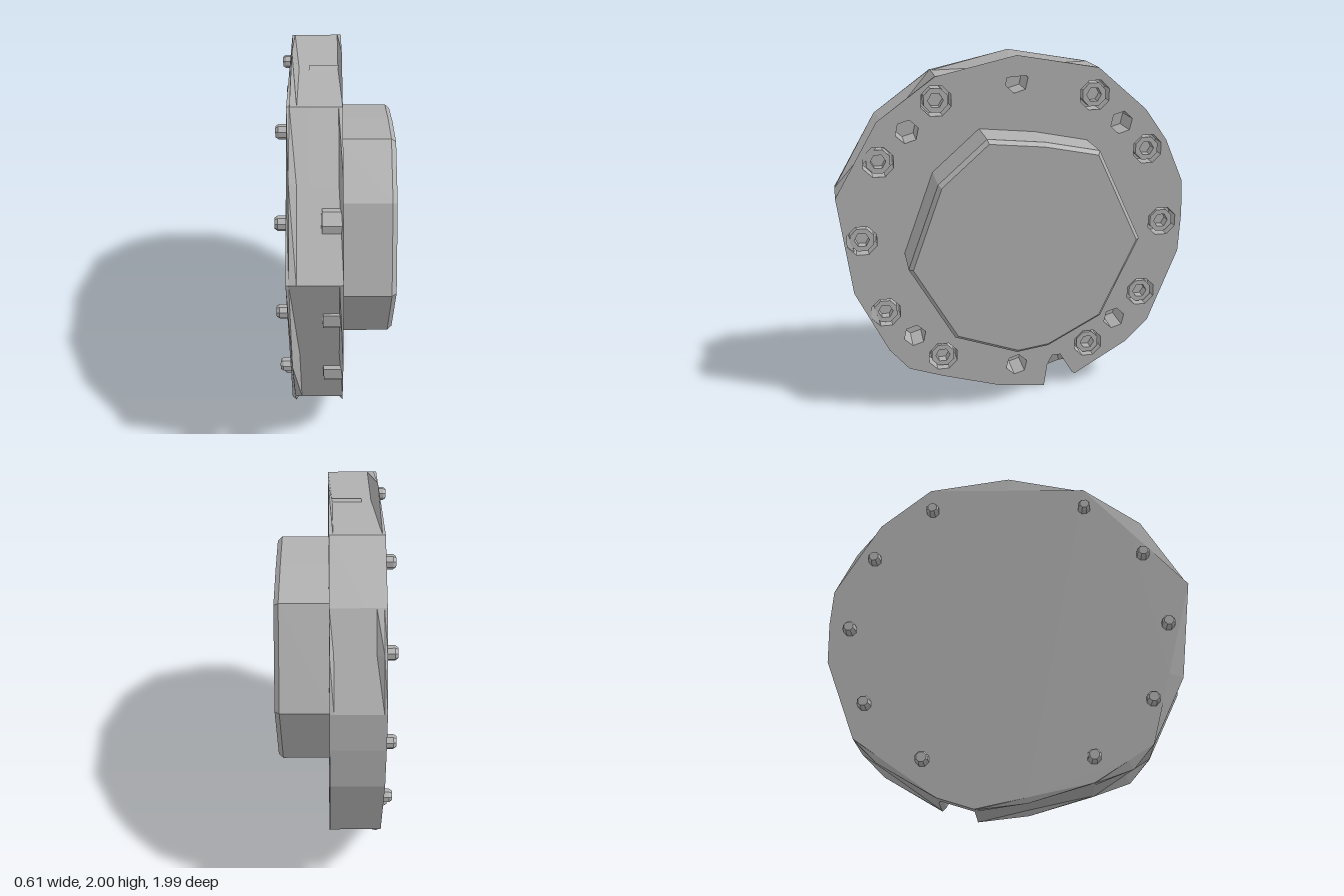
import * as THREE from 'three';

const steel = new THREE.MeshStandardMaterial({ color: 0xb0b0b0, flatShading: true, side: THREE.DoubleSide });
steel.name = 'steel grey';

// Local frame: u = -z, v = y - 1, w = model x. Points below are given as [z, y].
const local = ([z, y]) => new THREE.Vector2(-z, y - 1);

// Flange rim: corners, plus 'lobe' bulges and 'notch' points lying between corners
const RIM = [
  [0.44, 1.9], [0.76, 1.67, 'lobe'], [1, 1.26], [0.93, 0.7, 'lobe'], [0.75, 0.33],
  [0.64, 0.2, 'lobe'], [0.44, 0.13], [0.1, 0.03, 'lobe'], [-0.17, 0],
  [-0.19, 0.14, 'notch'], [-0.22, 0.2, 'notch'], [-0.27, 0.2, 'notch'], [-0.34, 0.08, 'notch'],
  [-0.36, 0.06], [-0.68, 0.25, 'lobe'], [-0.81, 0.38], [-0.98, 0.82], [-0.99, 1.05],
  [-0.98, 1.25], [-0.87, 1.5, 'lobe'], [-0.74, 1.68], [-0.46, 1.92], [0, 2, 'lobe'],
];

const HUB = [
  [0.21, 1.61], [0.47, 1.38], [0.64, 0.92], [0.4, 0.5], [0.05, 0.375],
  [-0.13, 0.4], [-0.43, 0.56], [-0.64, 1.01], [-0.4, 1.52], [-0.1, 1.58],
];

// Rim ring; points whose kind is not kept fall back onto the chord between corners
function rimRing(...kept) {
  const n = RIM.length;
  return RIM.map((p, i) => {
    const at = local(p);
    if (!p[2] || kept.includes(p[2])) return at;
    let a = i, b = i;
    while (RIM[a][2]) a = (a + n - 1) % n;
    while (RIM[b][2]) b = (b + 1) % n;
    const start = local(RIM[a]);
    const chord = local(RIM[b]).sub(start);
    const t = THREE.MathUtils.clamp(at.sub(start).dot(chord) / chord.lengthSq(), 0.02, 0.98);
    return start.addScaledVector(chord, t);
  });
}

function polygon(sides, r, cx = 0, cy = 0, turn = 0) {
  return Array.from({ length: sides }, (_, i) => {
    const a = turn + (i / sides) * Math.PI * 2;
    return new THREE.Vector2(cx + r * Math.cos(a), cy + r * Math.sin(a));
  });
}

// Skin through equal-count rings, ordered along w
function loft(rings) {
  const pos = [];
  for (let k = 0; k < rings.length - 1; k++) {
    const A = rings[k], B = rings[k + 1], n = A.pts.length;
    for (let i = 0; i < n; i++) {
      const j = (i + 1) % n;
      const corner = (R, m) => [R.pts[m].x, R.pts[m].y, R.w];
      const a = corner(A, i), b = corner(A, j), c = corner(B, j), d = corner(B, i);
      pos.push(...a, ...b, ...c, ...a, ...c, ...d);
    }
  }
  const g = new THREE.BufferGeometry();
  g.setAttribute('position', new THREE.Float32BufferAttribute(pos, 3));
  g.computeVertexNormals();
  return g;
}

function cap(pts, w, back = false, holes = []) {
  const s = new THREE.Shape(pts);
  s.holes = holes.map((h) => new THREE.Path(h));
  const g = new THREE.ShapeGeometry(s);
  if (back) {
    g.index.array.reverse();
    g.computeVertexNormals();
  }
  return g.translate(0, 0, w);
}

function add(parent, name, geometry) {
  const m = new THREE.Mesh(geometry, steel);
  m.name = name;
  parent.add(m);
  return m;
}

// Blind recess: inward facing wall and a floor
function recess(parent, name, pts, top, floor) {
  const inward = [...pts].reverse();
  add(parent, name + 'Wall', loft([{ pts: inward, w: floor }, { pts: inward, w: top }]));
  add(parent, name + 'Floor', cap(pts, floor));
}

function makeBolt() {
  const bolt = new THREE.Group();
  bolt.name = 'bolt';
  const head = new THREE.Shape(polygon(8, 0.07, 0, 0, Math.PI / 8));
  const socket = polygon(6, 0.042);
  head.holes.push(new THREE.Path(socket));
  const headGeo = new THREE.ExtrudeGeometry(head, { depth: 0.09, bevelEnabled: false });
  add(bolt, 'boltHead', headGeo.translate(0, 0, -0.085));
  add(bolt, 'socketFloor', cap(socket, -0.05));
  // Chamfered tip behind the flange
  const wide = polygon(8, 0.037, 0, 0, Math.PI / 8), narrow = polygon(8, 0.027, 0, 0, Math.PI / 8);
  add(bolt, 'boltTip', loft([{ pts: narrow, w: -0.305 }, { pts: wide, w: -0.29 }, { pts: wide, w: -0.24 }]));
  add(bolt, 'boltTipEnd', cap(narrow, -0.305, true));
  return bolt;
}

export function createModel() {
  const model = new THREE.Group();
  model.name = 'boltedFlange';
  const body = new THREE.Group();
  body.name = 'flangeAssembly';
  body.position.y = 1;
  body.rotation.y = Math.PI / 2;
  model.add(body);

  const bolts = [], holes = [];
  for (const s of [1, -1]) {
    for (const [z, y] of [[0.44, 1.77], [0.76, 1.45], [0.87, 1.01], [0.76, 0.57], [0.44, 0.26]]) bolts.push(local([s * z, y]));
    for (const [z, y] of [[0.6, 1.61], [0.6, 0.41]]) holes.push(local([s * z, y]));
  }
  holes.push(local([0, 1.86]), local([0, 0.16]));
  const pockets = bolts.map((p) => polygon(8, 0.088, p.x, p.y, Math.PI / 8));
  const drilled = holes.map((p) => polygon(6, 0.065, p.x, p.y, 0.3));

  // Flange plate
  const face = rimRing('lobe', 'notch'), backFace = rimRing();
  add(body, 'flangeRim', loft([
    { pts: backFace, w: -0.25 },
    { pts: rimRing('lobe'), w: -0.235 },
    { pts: backFace, w: -0.2 },
    { pts: rimRing('notch'), w: -0.14 },
    { pts: rimRing('notch'), w: 0.0 },
    { pts: face, w: 0.02 },
  ]));
  add(body, 'flangeFront', cap(face, 0.02, false, [...pockets, ...drilled]));
  add(body, 'flangeBack', cap(backFace, -0.25, true));

  // Raised hub with a chamfered edge
  const hub = HUB.map(local);
  const hubTop = hub.map((p) => p.clone().multiplyScalar(0.965));
  add(body, 'hubSide', loft([{ pts: hub, w: 0.01 }, { pts: hub, w: 0.275 }, { pts: hubTop, w: 0.3 }]));
  add(body, 'hubFace', cap(hubTop, 0.3));

  // Counterbores with bolts, and plain holes
  bolts.forEach((p, i) => {
    recess(body, 'counterbore', pockets[i], 0.02, -0.08);
    const bolt = makeBolt();
    bolt.position.set(p.x, p.y, 0);
    body.add(bolt);
  });
  drilled.forEach((pts) => recess(body, 'plainHole', pts, 0.02, -0.15));

  return model;
}
